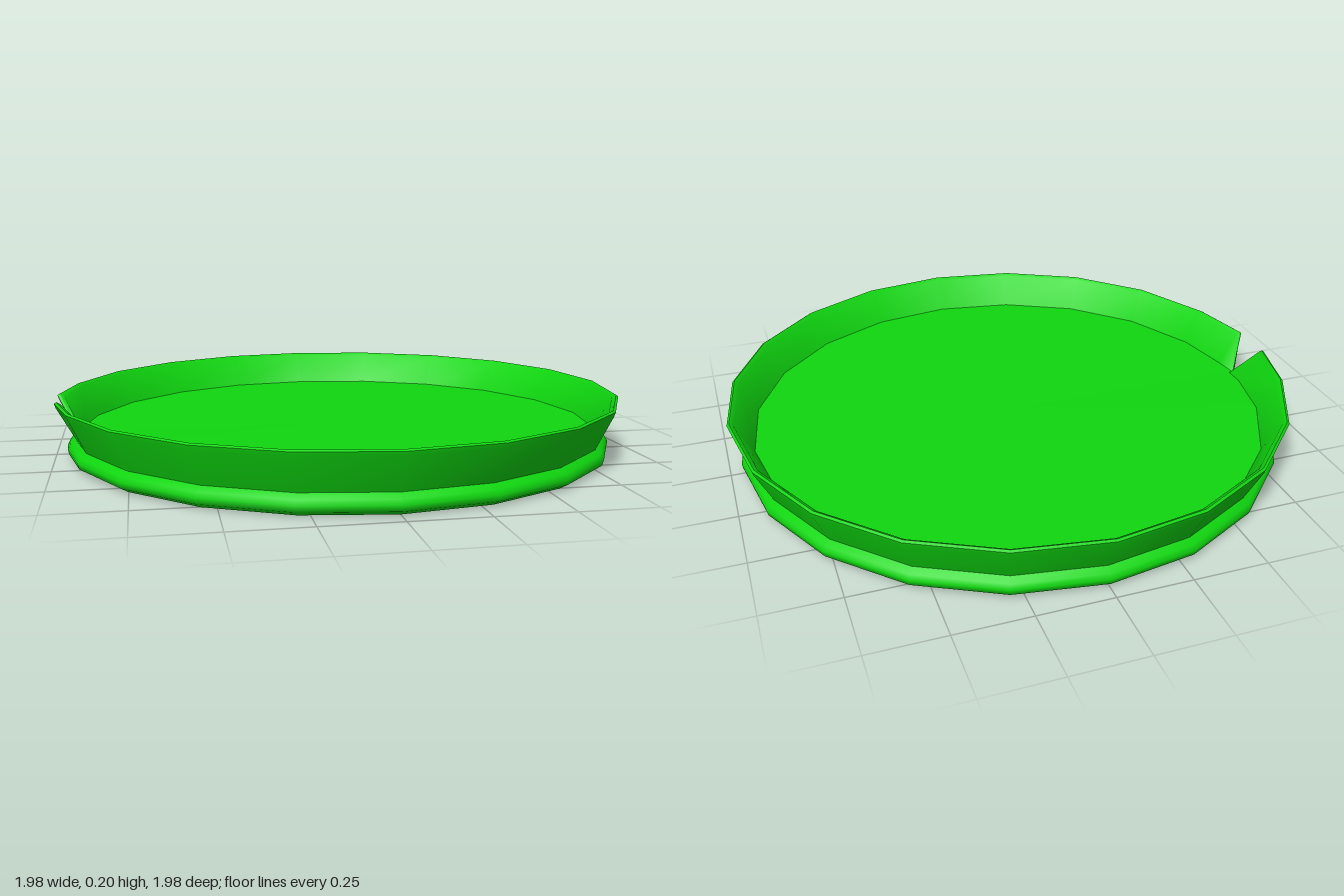
import * as THREE from 'three';
import { toCreasedNormals } from 'three/addons/utils/BufferGeometryUtils.js';

// Rim cross-section as [radius, height], from the underside edge up and over to the floor
const PROFILE = [
  [0.93, 0], [0.955, 0.015], [0.96, 0.035], [0.95, 0.05], [0.93, 0.065],
  [0.985, 0.18], [0.99, 0.195], [0.982, 0.2], [0.968, 0.192], [0.91, 0.08],
];

// Twenty sides, with an extra column on each side of the notch at -x
function columnAngles() {
  const angles = [];
  for (let i = 0; i < 20; i++) {
    if (i === 10) angles.push(175.2, 180, 184.8);
    else angles.push(i * 18);
  }
  return angles;
}

function ringPoint(degrees, [radius, height]) {
  let r = radius, y = height;
  if (degrees === 180) {
    // The rim drops to floor level here, forming the V notch
    if (y > 0.1) r = 0.925;
    y = Math.min(y, 0.075);
  } else if (Math.abs(degrees - 180) < 6 && y > 0.1) {
    r += 0.008;
  }
  const a = THREE.MathUtils.degToRad(degrees);
  return [r * Math.cos(a), y, r * Math.sin(a)];
}

function geometryFrom(positions, index) {
  const g = new THREE.BufferGeometry();
  g.setAttribute('position', new THREE.Float32BufferAttribute(positions, 3));
  g.setIndex(index);
  g.computeVertexNormals();
  return g;
}

function rimGeometry(angles) {
  const n = PROFILE.length, positions = [], index = [];
  for (const a of angles) for (const p of PROFILE) positions.push(...ringPoint(a, p));
  for (let i = 0; i < angles.length; i++) {
    const next = (i + 1) % angles.length;
    for (let j = 0; j < n - 1; j++) {
      const a = i * n + j, b = next * n + j;
      index.push(a, a + 1, b, a + 1, b + 1, b);
    }
  }
  return toCreasedNormals(geometryFrom(positions, index), 1.0);
}

// Flat fan closing one end of the rim profile
function discGeometry(angles, profilePoint, facesUp) {
  const positions = [0, profilePoint[1], 0], index = [];
  for (const a of angles) positions.push(...ringPoint(a, profilePoint));
  for (let i = 0; i < angles.length; i++) {
    const a = i + 1, b = ((i + 1) % angles.length) + 1;
    if (facesUp) index.push(0, b, a);
    else index.push(0, a, b);
  }
  return geometryFrom(positions, index);
}

export function createModel() {
  const group = new THREE.Group();
  group.name = 'lilyPad';
  const green = new THREE.MeshStandardMaterial({ color: 0x0fd60f });
  green.name = 'leaf green';
  const angles = columnAngles();

  const add = (name, geometry) => {
    const mesh = new THREE.Mesh(geometry, green);
    mesh.name = name;
    group.add(mesh);
  };
  add('notchedRim', rimGeometry(angles));
  add('floor', discGeometry(angles, PROFILE[PROFILE.length - 1], true));
  add('underside', discGeometry(angles, PROFILE[0], false));
  return group;
}
